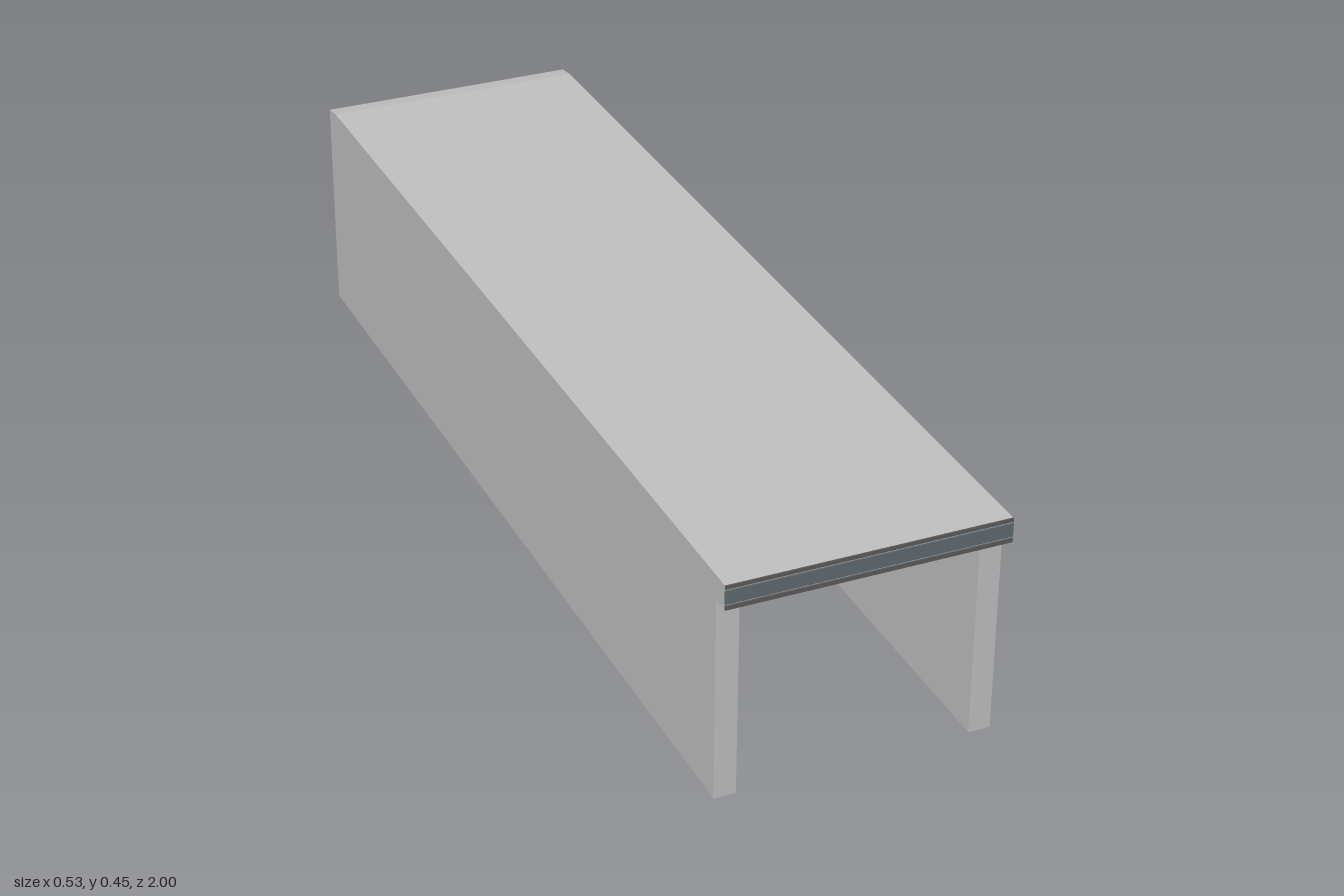
import * as THREE from 'three';

const W = 0.264, T = 0.042, WALL_H = 0.4, TOP = 0.447;
const FRONT = 0.965;

function shapeFrom(points) {
  return new THREE.Shape(points.map(([x, y]) => new THREE.Vector2(x, y)));
}

export function createModel() {
  const group = new THREE.Group();
  const material = (name, color) => {
    const m = new THREE.MeshStandardMaterial({ color });
    m.name = name;
    return m;
  };
  const shell = material('light grey', 0xc0c0c0);
  const dark = material('dark grey', 0x5a5a5a);
  const slate = material('slate grey', 0x5f6a70);

  const add = (name, geometry, mat, x = 0, y = 0, z = 0) => {
    const mesh = new THREE.Mesh(geometry, mat);
    mesh.name = name;
    mesh.position.set(x, y, z);
    group.add(mesh);
  };

  // Side and back walls: a U-shaped plan, open at the front
  const i = W - T;
  const plan = shapeFrom([
    [-W, -FRONT], [-i, -FRONT], [-i, 1 - T], [i, 1 - T],
    [i, -FRONT], [W, -FRONT], [W, 1], [-W, 1],
  ]);
  const walls = new THREE.ExtrudeGeometry(plan, { depth: WALL_H, bevelEnabled: false });
  walls.rotateX(-Math.PI / 2);
  add('walls', walls, shell);

  // Roof slab: overhangs the front and falls slightly at the back edge
  const profile = shapeFrom([
    [-1, WALL_H], [0.997, WALL_H], [0.997, TOP], [-0.96, TOP], [-1, TOP - 0.006],
  ]);
  const roof = new THREE.ExtrudeGeometry(profile, { depth: 2 * W, bevelEnabled: false });
  roof.translate(0, 0, -W).rotateY(-Math.PI / 2);
  add('roof', roof, shell);

  // Trim strips across the front edge of the roof, with pale gaps between
  const strips = [
    ['lowerTrim', 0.400, 0.408, dark],
    ['fasciaPanel', 0.411, 0.437, slate],
    ['upperTrim', 0.440, TOP, dark],
  ];
  for (const [name, y0, y1, mat] of strips) {
    add(name, new THREE.BoxGeometry(2 * W, y1 - y0, 0.003), mat, 0, (y0 + y1) / 2, 0.9985);
  }
  return group;
}
